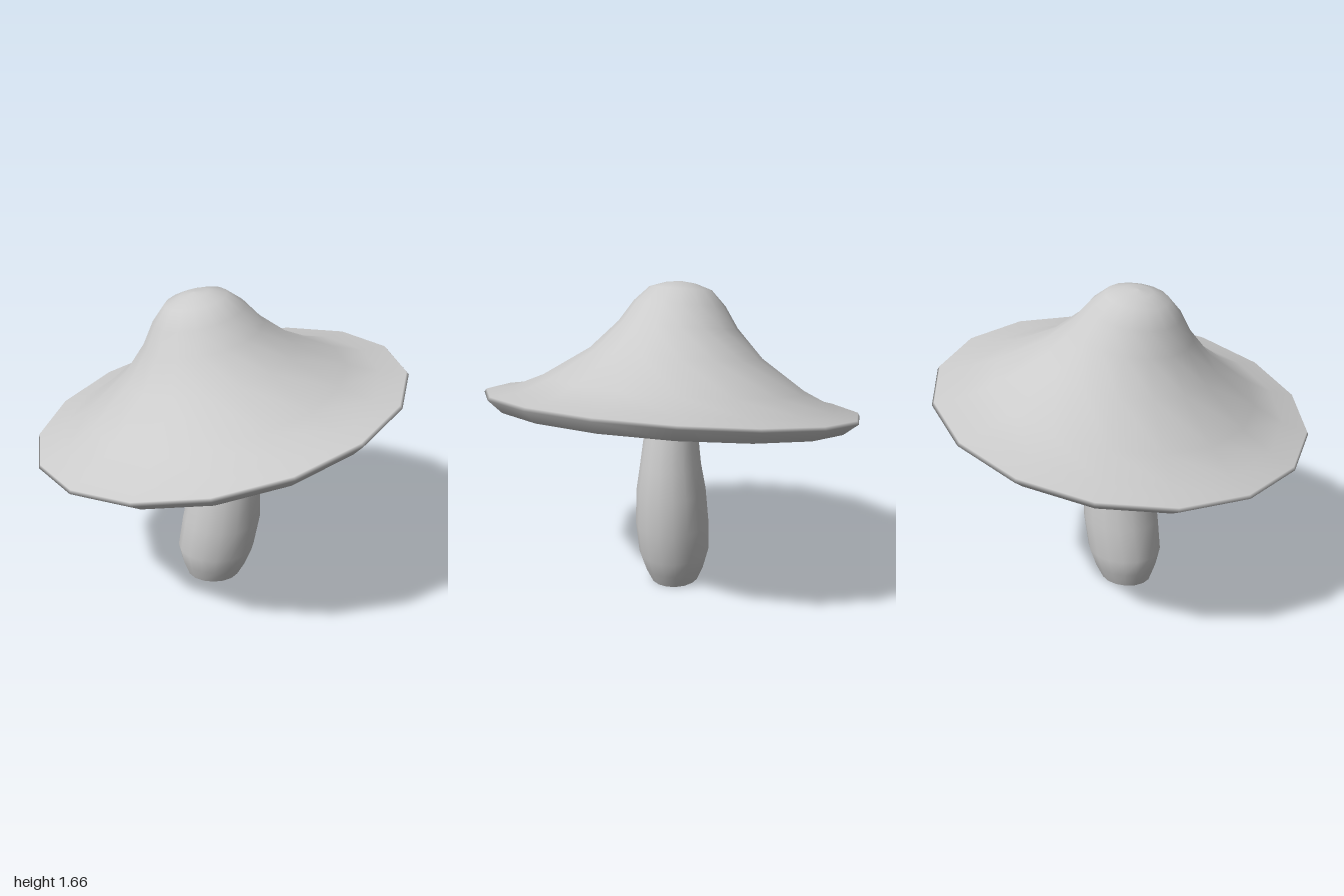
import * as THREE from 'three';

const material = new THREE.MeshStandardMaterial({ color: 0xcccccc, side: THREE.DoubleSide });

// Cap profile in its own tilted frame: [radius, height] from underside centre, round the rim, to the crown
const CAP_PROFILE = [
  [0, 0.19], [0.15, 0.16], [0.28, 0.06], [0.5, -0.035], [0.72, -0.058], [0.92, -0.066],
  [0.995, -0.005], [0.985, 0.012], [0.85, 0.035], [0.69, 0.108], [0.455, 0.265],
  [0.314, 0.413], [0.24, 0.525], [0.163, 0.603], [0.075, 0.632], [0, 0.64],
];

// Stem rings: [height, centre x, radius x, radius z]
const STEM_RINGS = [
  [0, -0.035, 0.145, 0.13], [0.08, -0.028, 0.182, 0.165], [0.17, -0.02, 0.21, 0.19],
  [0.35, 0.01, 0.213, 0.197], [0.55, 0.03, 0.193, 0.187], [0.7, 0.038, 0.168, 0.163],
  [0.85, 0.03, 0.151, 0.145], [0.97, 0.015, 0.141, 0.132], [1.1, -0.01, 0.135, 0.125],
  [1.22, -0.04, 0.13, 0.12],
];

// Smooth open tube through elliptical rings
function ringTube(rings, sides) {
  const positions = [];
  const index = [];
  rings.forEach(([y, cx, rx, rz], i) => {
    for (let j = 0; j < sides; j++) {
      const a = (j / sides) * Math.PI * 2;
      positions.push(cx + rx * Math.sin(a), y, rz * Math.cos(a));
      if (i === 0) continue;
      const k = (j + 1) % sides;
      const low = (i - 1) * sides;
      const high = i * sides;
      index.push(low + j, low + k, high + k, low + j, high + k, high + j);
    }
  });
  const geometry = new THREE.BufferGeometry();
  geometry.setAttribute('position', new THREE.Float32BufferAttribute(positions, 3));
  geometry.setIndex(index);
  geometry.computeVertexNormals();
  return geometry;
}

export function createModel() {
  const model = new THREE.Group();
  model.name = 'mushroom';

  // Bent stem, open at the foot
  const stem = new THREE.Mesh(ringTube(STEM_RINGS, 16), material);
  stem.name = 'stem';

  // Wide cap, tilted down to the model's right
  const points = CAP_PROFILE.map(([r, y]) => new THREE.Vector2(r, y));
  const cap = new THREE.Mesh(new THREE.LatheGeometry(points, 16, -0.04), material);
  cap.name = 'cap';
  cap.position.y = 1.03;
  cap.rotation.z = 0.202;

  model.add(stem, cap);
  return model;
}
